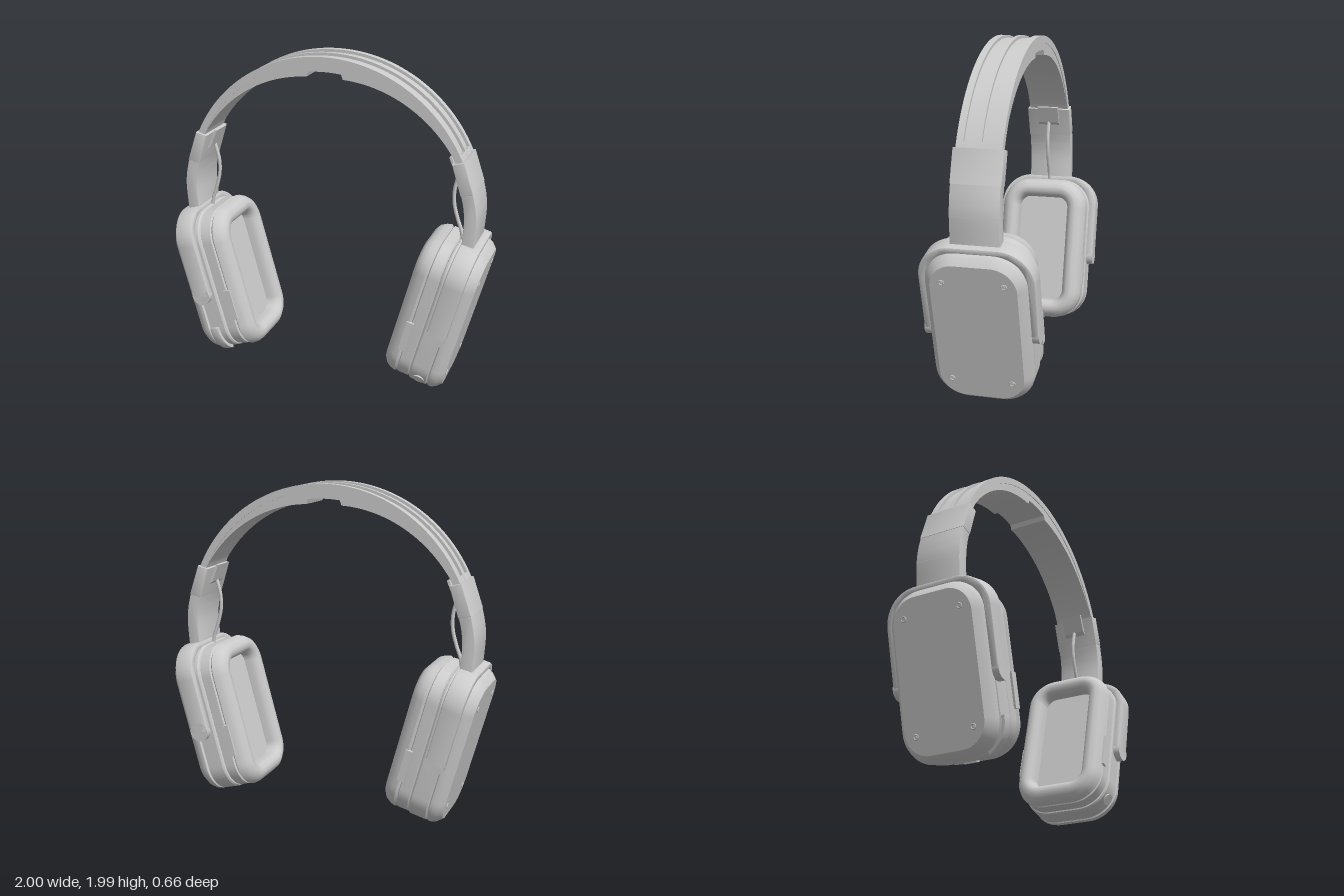
import * as THREE from 'three';
import { toCreasedNormals } from 'three/addons/utils/BufferGeometryUtils.js';

const material = new THREE.MeshStandardMaterial({ color: 0xcccccc });
const TILT = THREE.MathUtils.degToRad(15);
const HALF_W = 0.29, HALF_L = 0.472, CORNER = 0.19, MID = 0.663;

function add(parent, name, geometry, crease = 0.5) {
  const mesh = new THREE.Mesh(toCreasedNormals(geometry, crease), material);
  mesh.name = name;
  parent.add(mesh);
  return mesh;
}

// Rounded rectangle loop of the ear cup, shrunk by inset, at depth n
function cupLoop(inset, n) {
  const r = CORNER - inset, pts = [], steps = 12;
  for (let c = 0; c < 4; c++) {
    const cx = (HALF_W - CORNER) * (c === 0 || c === 3 ? 1 : -1);
    const cy = MID + (HALF_L - CORNER) * (c < 2 ? 1 : -1);
    for (let i = 0; i <= steps; i++) {
      const a = (c + i / steps) * Math.PI / 2;
      pts.push([cx + r * Math.cos(a), cy + r * Math.sin(a), n]);
    }
  }
  return pts;
}

// Skin a list of [inset, depth] loops and close both ends
function loft(profile) {
  const loops = profile.map(([inset, n]) => cupLoop(inset, n));
  const count = loops[0].length, pos = loops.flat(2), index = [];
  for (let i = 0; i < loops.length - 1; i++) {
    for (let j = 0; j < count; j++) {
      const a = i * count + j, b = i * count + (j + 1) % count;
      index.push(a, b, b + count, a, b + count, a + count);
    }
  }
  const last = (loops.length - 1) * count, centre = loops.length * count;
  pos.push(0, MID, profile[0][1], 0, MID, profile[profile.length - 1][1]);
  for (let j = 0; j < count; j++) {
    const k = (j + 1) % count;
    index.push(centre, k, j, centre + 1, last + j, last + k);
  }
  const g = new THREE.BufferGeometry();
  g.setAttribute('position', new THREE.Float32BufferAttribute(pos, 3));
  g.setIndex(index);
  return g;
}

// Extrude a shape between z0 and z1 with a small bevel inside the outline
function slab(shape, z0, z1, bevel = 0) {
  return new THREE.ExtrudeGeometry(shape, {
    depth: z1 - z0 - 2 * bevel, curveSegments: 40, bevelEnabled: bevel > 0,
    bevelThickness: bevel, bevelSize: bevel, bevelOffset: -bevel, bevelSegments: 2,
  }).translate(0, 0, z0 + bevel);
}

// Arc-shaped strip between two radii
function arcShape(cx, cy, r0, r1, a0, a1) {
  const s = new THREE.Shape();
  s.absarc(cx, cy, r1, a0, a1, false);
  s.absarc(cx, cy, r0, a1, a0, true);
  return s;
}

const polygon = (pts) => new THREE.Shape(pts.map(([x, y]) => new THREE.Vector2(x, y)));

function createCup(isLeft) {
  const cup = new THREE.Group();
  cup.name = 'earCup';
  // Local x runs across the cup, y along it, z outwards from the head
  const s = Math.sin(TILT), c = Math.cos(TILT);
  cup.quaternion.setFromRotationMatrix(new THREE.Matrix4().makeBasis(
    new THREE.Vector3(0, 0, -1), new THREE.Vector3(s, c, 0), new THREE.Vector3(c, -s, 0)));

  add(cup, 'earCushion', loft([[0.125, 0.5], [0.125, 0.42], [0.112, 0.385], [0.09, 0.367],
    [0.06, 0.365], [0.03, 0.385], [0.012, 0.415], [0.004, 0.445], [0.02, 0.46]]), 0.7);
  add(cup, 'cushionBase', loft([[0.02, 0.458], [0.008, 0.465], [0.008, 0.53], [0.02, 0.538]]));
  add(cup, 'cupBody', loft([[0.02, 0.536], [0.006, 0.54], [0, 0.55], [0, 0.65], [0.02, 0.66]]));
  add(cup, 'outerPlate', loft([[0.02, 0.655], [0, 0.665], [0, 0.685], [0.012, 0.71],
    [0.045, 0.743]]));

  // Fork hugging the cup, with rounded arm ends
  const U = new THREE.Shape();
  U.moveTo(0.33, 0.626).lineTo(0.33, 0.965).absarc(0.13, 0.965, 0.2, 0, Math.PI / 2, false);
  U.absarc(-0.13, 0.965, 0.2, Math.PI / 2, Math.PI, false).lineTo(-0.33, 0.626);
  U.lineTo(-0.28, 0.626).lineTo(-0.28, 0.965);
  U.absarc(-0.12, 0.965, 0.16, Math.PI, Math.PI / 2, true);
  U.absarc(0.12, 0.965, 0.16, Math.PI / 2, 0, true).lineTo(0.28, 0.626);
  add(cup, 'yoke', slab(U, 0.565, 0.685, 0.012));

  for (const side of [-1, 1]) {
    const end = new THREE.CylinderGeometry(0.06, 0.06, 0.05, 32).rotateZ(Math.PI / 2);
    add(cup, 'yokeArmEnd', end.translate(side * 0.305, 0.626, 0.625));
    add(cup, 'sideSlider', new THREE.BoxGeometry(0.03, 0.2, 0.045)
      .translate(side * 0.28, 0.534, 0.455));
    for (const row of [-1, 1]) {
      const x = side * 0.175, y = MID + row * 0.318;
      add(cup, 'screwRim', new THREE.TorusGeometry(0.014, 0.004, 8, 20).translate(x, y, 0.743));
      add(cup, 'screwHead', new THREE.CylinderGeometry(0.008, 0.008, 0.006, 6)
        .rotateX(Math.PI / 2).translate(x, y, 0.743));
    }
  }

  const cx = HALF_W - CORNER, cy = MID - HALF_L + CORNER;
  if (isLeft) {
    // Round button on the lower front corner
    const a = Math.PI + 0.58;
    const button = new THREE.CylinderGeometry(0.035, 0.035, 0.012, 24).rotateZ(a - Math.PI / 2);
    add(cup, 'roundButton', button.translate(
      -cx + 0.19 * Math.cos(a), cy + 0.19 * Math.sin(a), 0.604));
  } else {
    // Raised tab wrapping the lower front corner, and a socket underneath
    add(cup, 'cornerTab', slab(arcShape(cx, cy, 0.17, 0.21, -1.1, 0.05), 0.586, 0.646, 0.006));
    add(cup, 'socket', new THREE.BoxGeometry(0.08, 0.02, 0.03).translate(0, 0.197, 0.5));
  }
  return cup;
}

function createSide(isLeft) {
  const side = new THREE.Group();
  side.name = isLeft ? 'leftSide' : 'rightSide';
  side.add(createCup(isLeft));

  // Curved arm between headband and fork
  add(side, 'upperSleeve', slab(polygon([[0.842, 1.47], [0.772, 1.452], [0.83, 1.268],
    [0.905, 1.285]]), -0.143, 0.143, 0.004));
  const lower = new THREE.Shape();
  lower.moveTo(0.832, 1.272).lineTo(0.902, 1.288);
  lower.splineThru([[0.922, 1.2], [0.93, 1.107], [0.92, 0.95]].map((p) => new THREE.Vector2(...p)));
  lower.lineTo(0.848, 0.95);
  lower.splineThru([[0.857, 1.107], [0.849, 1.2], [0.832, 1.272]].map((p) => new THREE.Vector2(...p)));
  add(side, 'lowerSleeve', slab(lower, -0.14, 0.14, 0.003));
  add(side, 'sleeveClip', slab(polygon([[0.752, 1.472], [0.738, 1.468], [0.782, 1.36],
    [0.81, 1.34]]), -0.07, 0.07));

  const path = new THREE.CatmullRomCurve3([[0.8, 1.39], [0.785, 1.35], [0.763, 1.26],
    [0.764, 1.17], [0.79, 1.07], [0.815, 1.0], [0.825, 0.93]]
    .map(([x, y]) => new THREE.Vector3(x, y, 0)));
  add(side, 'cable', new THREE.TubeGeometry(path, 40, 0.011, 10), 1);

  if (!isLeft) side.rotation.y = Math.PI;
  return side;
}

function createHeadband() {
  const band = new THREE.Group();
  band.name = 'headband';
  const cy = 1.085, R = 0.915, rad = THREE.MathUtils.degToRad;
  const strip = (name, r0, r1, a0, a1, z0, z1) =>
    add(band, name, slab(arcShape(0, cy, r0, r1, rad(a0), rad(a1)), z0, z1));

  // Spring shell with three raised ribs, joined at both ends
  strip('bandShell', 0.872, 0.898, 23, 157, -0.13, 0.13);
  strip('centreRib', 0.89, R, 23, 157, -0.012, 0.012);
  strip('frontRib', 0.89, R, 23, 157, 0.09, 0.13);
  strip('backRib', 0.89, R, 23, 157, -0.13, -0.09);
  strip('leftBandEnd', 0.89, R - 0.001, 23, 27, -0.129, 0.129);
  strip('rightBandEnd', 0.89, R - 0.001, 153, 157, -0.129, 0.129);

  // Padding that thickens to the middle, with a recessed centre panel
  const inner = [];
  for (let e = 25; e <= 155; e += 1) {
    const fromEnd = Math.min(e, 180 - e);
    const offset = fromEnd > 82 ? 0.087 : 0.04 + 0.075 * (fromEnd - 25) / 57;
    inner.push([(R - offset) * Math.cos(rad(e)), cy + (R - offset) * Math.sin(rad(e))]);
  }
  const outer = inner.map((_, i) => {
    const a = rad(155 - i);
    return [0.88 * Math.cos(a), cy + 0.88 * Math.sin(a)];
  });
  add(band, 'bandPadding', slab(polygon([...inner, ...outer]), -0.126, 0.126));
  return band;
}

export function createModel() {
  const model = new THREE.Group();
  model.name = 'headphones';
  model.add(createHeadband(), createSide(true), createSide(false));
  return model;
}
